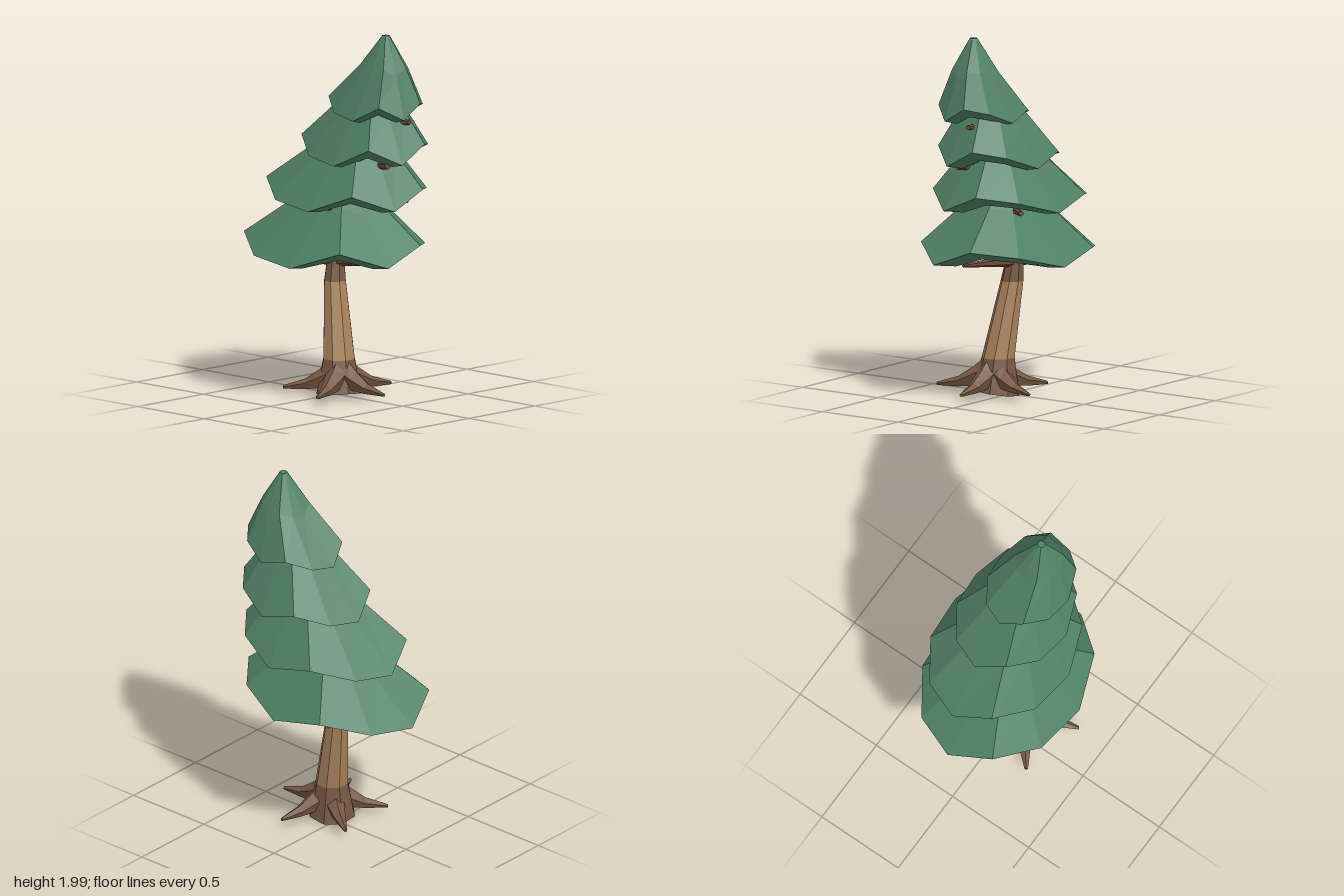
import * as THREE from 'three';

const mat = (name, color) => Object.assign(new THREE.MeshStandardMaterial({ color, flatShading: true }), { name });

// Skin through rings [x, y, z, rx, rz, lift(j, ringX, ringZ)], each square to dir; the ends are capped.
// On a sideways ring, rx is the half height and rz the half width.
function loft(rings, sides, dir = [0, 1, 0], start = 0) {
  const axis = new THREE.Vector3(...dir).normalize();
  const upright = axis.y > 0.999;
  const xAxis = upright ? new THREE.Vector3(1, 0, 0)
    : new THREE.Vector3(0, 1, 0).addScaledVector(axis, -axis.y).normalize();
  const turn = new THREE.Matrix4().makeBasis(xAxis, axis, xAxis.clone().cross(axis));
  const pos = [], index = [];
  for (const [x, y, z, rx, rz = rx, lift = () => 0] of rings) {
    for (let j = 0; j < sides; j++) {
      const a = start + (j / sides) * Math.PI * 2;
      const px = Math.cos(a) * rx, pz = Math.sin(a) * rz;
      const p = new THREE.Vector3(px, lift(j, px, pz), pz).applyMatrix4(turn);
      pos.push(p.x + x, p.y + y, p.z + z);
    }
  }
  const last = (rings.length - 1) * sides;
  for (let j = 0; j < sides; j++) {
    const k = (j + 1) % sides;
    for (let i = 0; i < last; i += sides) {
      index.push(i + j, i + sides + j, i + k, i + k, i + sides + j, i + sides + k);
    }
    if (j > 0 && k > 0) index.push(0, j, k, last, last + k, last + j);
  }
  const g = new THREE.BufferGeometry();
  g.setAttribute('position', new THREE.Float32BufferAttribute(pos, 3));
  g.setIndex(index);
  const flat = g.toNonIndexed();
  flat.computeVertexNormals();
  return flat;
}

export function createModel() {
  const tree = new THREE.Group();
  tree.name = 'pineTree';
  const needles = mat('needleGreen', 0x508065);
  const wood = mat('trunkTan', 0xa8835d);
  const bark = mat('barkBrown', 0x765844);
  const twig = mat('branchBrown', 0x704a39);
  const add = (name, geometry, material) => {
    const mesh = new THREE.Mesh(geometry, material);
    mesh.name = name;
    tree.add(mesh);
  };

  // Leaning trunk: dark foot, pale stem, dark neck
  const tilt = (j, x, z) => 0.11 * x + 0.09 * z;
  const foot = [0.065, 0.02, 0.04, 0.13, 0.13, tilt];
  const ankle = [0.055, 0.21, 0.03, 0.09, 0.09];
  const shoulder = [-0.015, 0.62, -0.01, 0.062, 0.062];
  const t0 = Math.PI / 8;
  add('trunkFoot', loft([foot, ankle], 8, undefined, t0), bark);
  add('trunkStem', loft([ankle, shoulder], 8, undefined, t0), wood);
  add('trunkNeck', loft([shoulder, [-0.02, 0.71, -0.02, 0.052], [-0.01, 0.86, -0.03, 0.045]], 8, undefined, t0), bark);

  // Five roots spreading from the foot, each with a ridge on top
  for (let i = 0; i < 5; i++) {
    const a = (-3 + i * 72) * Math.PI / 180, c = Math.cos(a), s = Math.sin(a);
    const ring = (r, y, h, w) => [0.082 + c * r, y, 0.045 + s * r, h, w];
    add('root', loft([
      ring(0.05, 0.125, 0.08, 0.06), ring(0.11, 0.1, 0.055, 0.052),
      ring(0.19, 0.07, 0.03, 0.034), ring(0.31, 0.052, 0.009, 0.01),
    ], 5, [c, 0, s]), bark);
  }

  // Tapered branches: from, to, base radius, tip radius
  const branches = [
    [[-0.02, 0.73, -0.02], [0.41, 0.762, 0.0], 0.036, 0.009],
    [[-0.02, 0.73, -0.02], [-0.22, 0.765, -0.31], 0.036, 0.009],
    [[-0.02, 0.73, -0.02], [-0.22, 0.765, 0.27], 0.036, 0.009],
    [[0.05, 1.03, -0.04], [0.27, 1.055, -0.28], 0.028, 0.014],
    [[0.05, 1.03, -0.04], [0.13, 1.058, 0.2], 0.026, 0.014],
    [[0.15, 1.27, -0.04], [0.42, 1.3, 0.03], 0.03, 0.018],
    [[0.25, 1.51, -0.05], [0.475, 1.532, -0.08], 0.02, 0.014],
    [[0.25, 1.51, -0.05], [0.22, 1.535, 0.118], 0.02, 0.012],
  ];
  for (const [from, to, r0, r1] of branches) {
    const dir = to.map((v, i) => v - from[i]);
    add('branch', loft([[...from, r0], [...to, r1]], 6, dir), twig);
  }

  // Four foliage tiers sharing one jagged, eleven-sided rim that fades out towards the top
  const jag = [0, 0.15, 0.55, 0, 0.7, 1, 0.15, 0.9, 0, 0.25, 1];
  const tiers = [
    { y: 0.75, drop: 0.11, rim: [-0.004, 0, 0.541, 0.43], mid: [0.02, 1.005, -0.01, 0.265, 0.215], top: [0.06, 1.25, -0.03, 0.02] },
    { y: 1.05, drop: 0.11, rim: [0.042, -0.045, 0.482, 0.378], mid: [0.1, 1.295, -0.045, 0.255, 0.21], top: [0.16, 1.53, -0.05, 0.02] },
    { y: 1.3, drop: 0.11, rim: [0.163, -0.06, 0.378, 0.3], mid: [0.21, 1.55, -0.055, 0.193, 0.168], top: [0.26, 1.74, -0.05, 0.02] },
    { y: 1.55, drop: 0.09, rim: [0.268, -0.035, 0.283, 0.222], mid: [0.335, 1.785, -0.028, 0.134, 0.124], top: [0.352, 1.995, -0.025, 0.02] },
  ];
  for (const { y, drop, rim: [x, z, rx, rz], mid, top } of tiers) {
    const lift = (amount) => (j) => jag[j] * amount;
    add('foliageTier', loft([
      [x, y + 0.04, z, 0.001],
      [x, y - 0.018, z, rx * 0.7, rz * 0.7, lift(drop * 0.6)],
      [x, y, z, rx, rz, lift(drop)],
      [...mid, lift(drop * 0.5)],
      top,
    ], 11, undefined, Math.PI), needles);
  }
  return tree;
}
